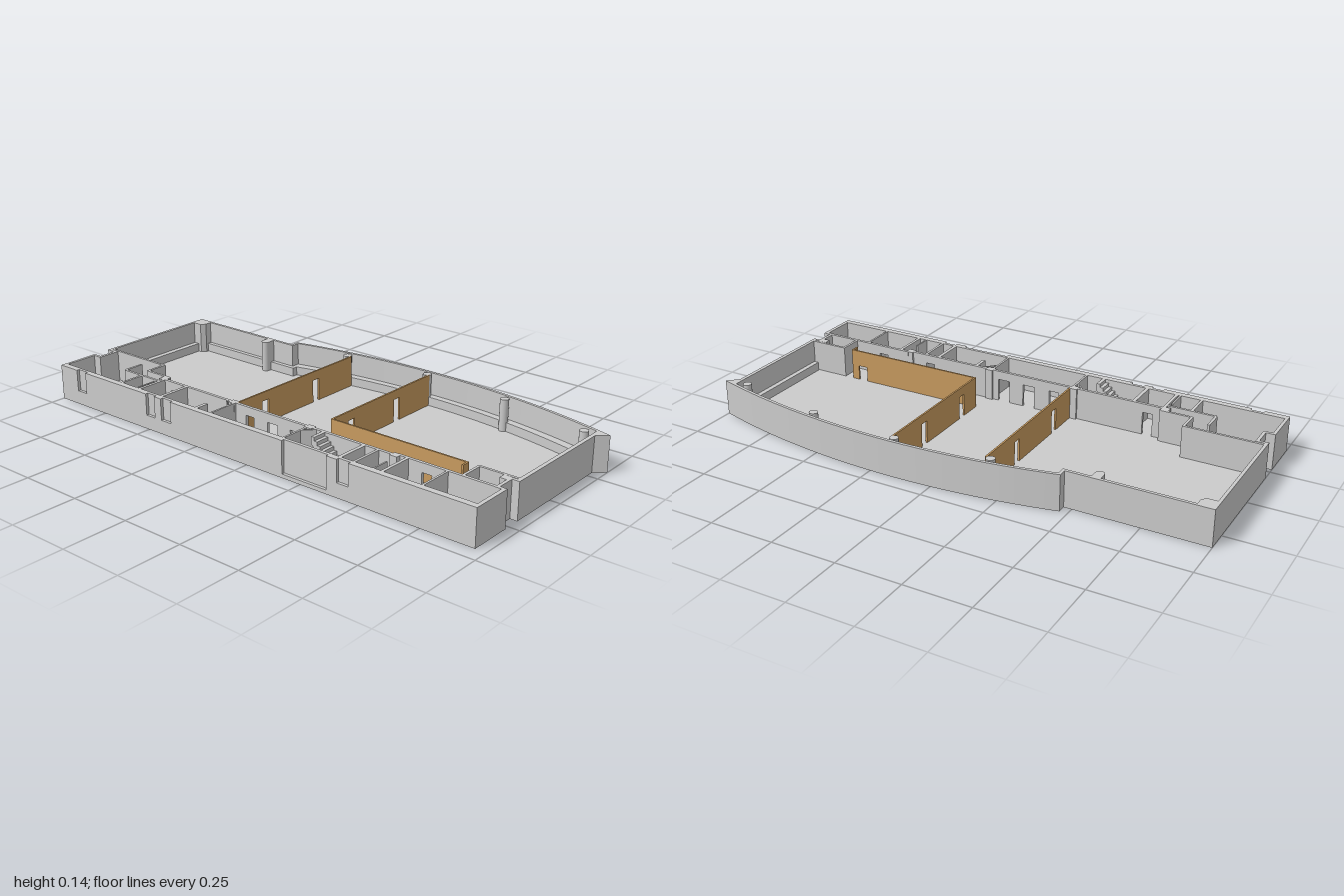
import * as THREE from 'three';

const H = 0.14, FLOOR = 0.015;
const grey = new THREE.MeshStandardMaterial({ color: 0xcccccc, side: THREE.DoubleSide });
const wood = new THREE.MeshStandardMaterial({ color: 0xc89b5f, side: THREE.DoubleSide });

const toShape = (pts) => new THREE.Shape(pts.map(([x, z]) => new THREE.Vector2(x, -z)));

// points of the bowed back, left to right
function bow(radius, apexZ, x0, x1, n = 28) {
  const pts = [];
  for (let i = 0; i <= n; i++) {
    const x = x0 + (x1 - x0) * i / n;
    pts.push([x, apexZ + radius - Math.sqrt(radius ** 2 - (x - 0.17) ** 2)]);
  }
  return pts;
}

export function createModel() {
  const model = new THREE.Group();

  function add(name, geometry, material = grey) {
    const mesh = new THREE.Mesh(geometry, material);
    mesh.name = name;
    model.add(mesh);
    return mesh;
  }

  // extrude a floor-plan polygon given as [x, z] from y0 to y1
  function plan(name, pts, y0, y1, holes = []) {
    const shape = toShape(pts);
    holes.forEach((h) => shape.holes.push(toShape(h)));
    const g = new THREE.ExtrudeGeometry(shape, { depth: y1 - y0, bevelEnabled: false });
    g.rotateX(-Math.PI / 2).translate(0, y0, 0);
    return add(name, g);
  }

  // straight wall between two plan points; doors are [distance, width, height]
  function wall(name, x0, z0, x1, z1, t = 0.01, doors = [], material = grey) {
    const len = Math.hypot(x1 - x0, z1 - z0), h = H - FLOOR;
    const s = new THREE.Shape();
    s.moveTo(0, 0);
    for (const [d, w, dh] of doors) {
      s.lineTo(d - w / 2, 0); s.lineTo(d - w / 2, dh);
      s.lineTo(d + w / 2, dh); s.lineTo(d + w / 2, 0);
    }
    s.lineTo(len, 0); s.lineTo(len, h); s.lineTo(0, h);
    const g = new THREE.ExtrudeGeometry(s, { depth: t, bevelEnabled: false });
    g.translate(0, 0, -t / 2).rotateY(Math.atan2(z0 - z1, x1 - x0)).translate(x0, FLOOR, z0);
    return add(name, g, material);
  }

  // outer outline with the side notches
  const outline = (front) => [
    [-1, front], [-1, 0.27], [-0.965, 0.27], [-0.965, 0.2], [-1, 0.2], [-1, -0.335], [-0.47, -0.335],
    ...bow(2.86, -0.44, -0.47, 1), [0.96, -0.28], [0.96, 0.2], [0.932, 0.2], [0.932, 0.27], [0.96, 0.27], [0.96, front],
  ];
  const inside = [
    [-0.988, 0.415], [-0.988, 0.282], [-0.953, 0.282], [-0.953, 0.188], [-0.988, 0.188], [-0.988, -0.323],
    [-0.458, -0.323], ...bow(2.848, -0.428, -0.458, 0.945),
    [0.945, 0.188], [0.92, 0.188], [0.92, 0.282], [0.945, 0.282], [0.945, 0.415],
  ];

  // floor slab with two stairwells
  plan('floor', outline(0.44), 0, FLOOR, [
    [[-0.355, 0.29], [-0.255, 0.29], [-0.255, 0.36], [-0.39, 0.36], [-0.39, 0.345], [-0.355, 0.345]],
    [[0.21, 0.35], [0.34, 0.35], [0.34, 0.365], [0.31, 0.365], [0.31, 0.415], [0.215, 0.415], [0.215, 0.365], [0.21, 0.365]],
  ]);
  plan('outerWall', outline(0.428), FLOOR, H, [inside]);

  // front face layer with shallow recesses open at the top: [x0, x1, sill]
  const face = new THREE.Shape();
  face.moveTo(0.96, FLOOR);
  face.lineTo(-1, FLOOR);
  face.lineTo(-1, H);
  for (const [a, b, sill] of [[-0.905, -0.855, 0.055], [-0.51, -0.465, 0.055], [-0.43, -0.38, 0.055],
    [0.168, 0.365, 0.0152], [0.41, 0.46, 0.055], [0.655, 0.695, 0.055], [0.77, 0.81, 0.055]].slice(0, 5)) {
    face.lineTo(a, H); face.lineTo(a, sill); face.lineTo(b, sill); face.lineTo(b, H);
  }
  face.lineTo(0.96, H);
  add('frontFace', new THREE.ExtrudeGeometry(face, { depth: 0.012, bevelEnabled: false }).translate(0, 0, 0.428));

  // low ledge following the hall walls
  plan('hallLedge', [
    [-0.988, 0.17], [-0.988, -0.323], [-0.458, -0.323], ...bow(2.848, -0.428, -0.458, 0.945), [0.945, 0.17],
    [0.925, 0.17], ...bow(2.6, -0.4, -0.44, 0.925).reverse(), [-0.44, -0.305], [-0.965, -0.305], [-0.965, 0.17],
  ], FLOOR, 0.05);

  // columns along the back
  for (const [x, z] of [[-0.21, -0.378], [0.163, -0.408], [0.535, -0.378], [0.908, -0.3], [-0.58, -0.293]]) {
    add('column', new THREE.CylinderGeometry(0.017, 0.017, H - FLOOR, 20).translate(x, (H + FLOOR) / 2, z));
  }
  plan('columnBacking', [[-0.597, -0.325], [-0.563, -0.325], [-0.563, -0.293], [-0.597, -0.293]], FLOOR, H);
  plan('cornerColumn', [[-0.99, -0.325], [-0.935, -0.325], [-0.935, -0.295], [-0.95, -0.277], [-0.99, -0.277]], FLOOR, H);

  // wooden hall dividers
  wall('woodDivider', -0.19, -0.375, -0.19, 0.28, 0.007, [[0.22, 0.035, 0.09], [0.51, 0.035, 0.09]], wood);
  wall('woodDivider', 0.175, -0.405, 0.175, 0.18, 0.007, [[0.21, 0.035, 0.09], [0.48, 0.035, 0.09]], wood);
  wall('woodDivider', 0.172, 0.18, 0.75, 0.18, 0.007, [[0.53, 0.04, 0.06]], wood);
  wall('woodDivider', 0.75, 0.177, 0.75, 0.21, 0.007, [], wood);

  // wall between the hall and the front rooms
  wall('hallWall', -0.57, 0.285, -0.19, 0.285, 0.012, [[0.06, 0.04, 0.09]]);
  wall('hallWall', -0.19, 0.285, 0.16, 0.285, 0.012, [[0.07, 0.04, 0.09], [0.18, 0.05, 0.09], [0.29, 0.05, 0.09]]);
  wall('hallWall', 0.16, 0.285, 0.54, 0.285, 0.012, [[0.28, 0.04, 0.09]]);
  wall('hallWall', 0.54, 0.275, 0.945, 0.275, 0.012, [[0.12, 0.04, 0.09]]);

  // left and right corner rooms
  wall('cornerRoomWall', -0.99, 0.18, -0.685, 0.18);
  wall('cornerRoomWall', -0.69, 0.18, -0.69, 0.265);
  wall('cornerRoomWall', -0.69, 0.262, -0.57, 0.262);
  wall('cornerRoomWall', -0.765, 0.23, -0.765, 0.31);
  wall('cornerRoomWall', -0.765, 0.312, -0.57, 0.312, 0.01, [[0.14, 0.035, 0.09]]);
  wall('cornerRoomWall', 0.79, 0.18, 0.945, 0.18);
  wall('cornerRoomWall', 0.795, 0.18, 0.795, 0.275);

  // cross partitions of the front rooms: [x, start z, thickness]
  for (const [x, z, t] of [[-0.67, 0.312, 0.01], [-0.57, 0.26, 0.012], [-0.45, 0.285, 0.014], [-0.195, 0.285, 0.008],
    [0.155, 0.285, 0.008], [0.405, 0.285, 0.014], [0.465, 0.285, 0.01], [0.58, 0.275, 0.012], [0.74, 0.275, 0.008]]) {
    wall('partition', x, z, x, 0.418, t);
  }
  wall('shortPartition', -0.585, 0.33, -0.585, 0.418, 0.006);
  wall('shortPartition', 0.545, 0.345, 0.545, 0.418, 0.006);

  // small piers along the hall wall
  for (const [x, z] of [[-0.58, 0.28], [-0.205, 0.285], [0.163, 0.285], [0.535, 0.285], [0.908, 0.2]]) {
    add('pier', new THREE.BoxGeometry(0.03, H - FLOOR, 0.028).translate(x, (H + FLOOR) / 2, z));
  }

  // angled corner leaves beside the stair halls
  wall('cornerLeaf', -0.235, 0.29, -0.197, 0.33, 0.005);
  wall('cornerLeaf', 0.195, 0.29, 0.157, 0.33, 0.005);

  // stair flights with a sloping underside, rising from x0 to x1
  for (const [x0, x1, z0, z1] of [[-0.385, -0.262, 0.362, 0.415], [0.342, 0.222, 0.291, 0.348]]) {
    const n = 9, run = (x1 - x0) / n, rise = (H - FLOOR) / n;
    const s = new THREE.Shape();
    s.moveTo(x0, FLOOR);
    for (let i = 0; i < n; i++) {
      s.lineTo(x0 + i * run, FLOOR + (i + 1) * rise);
      s.lineTo(x0 + (i + 1) * run, FLOOR + (i + 1) * rise);
    }
    s.lineTo(x1, H - 0.03);
    s.lineTo(x0 + 1.5 * run, FLOOR);
    add('stairs', new THREE.ExtrudeGeometry(s, { depth: z1 - z0, bevelEnabled: false }).translate(0, 0, z0));
  }

  return model;
}
